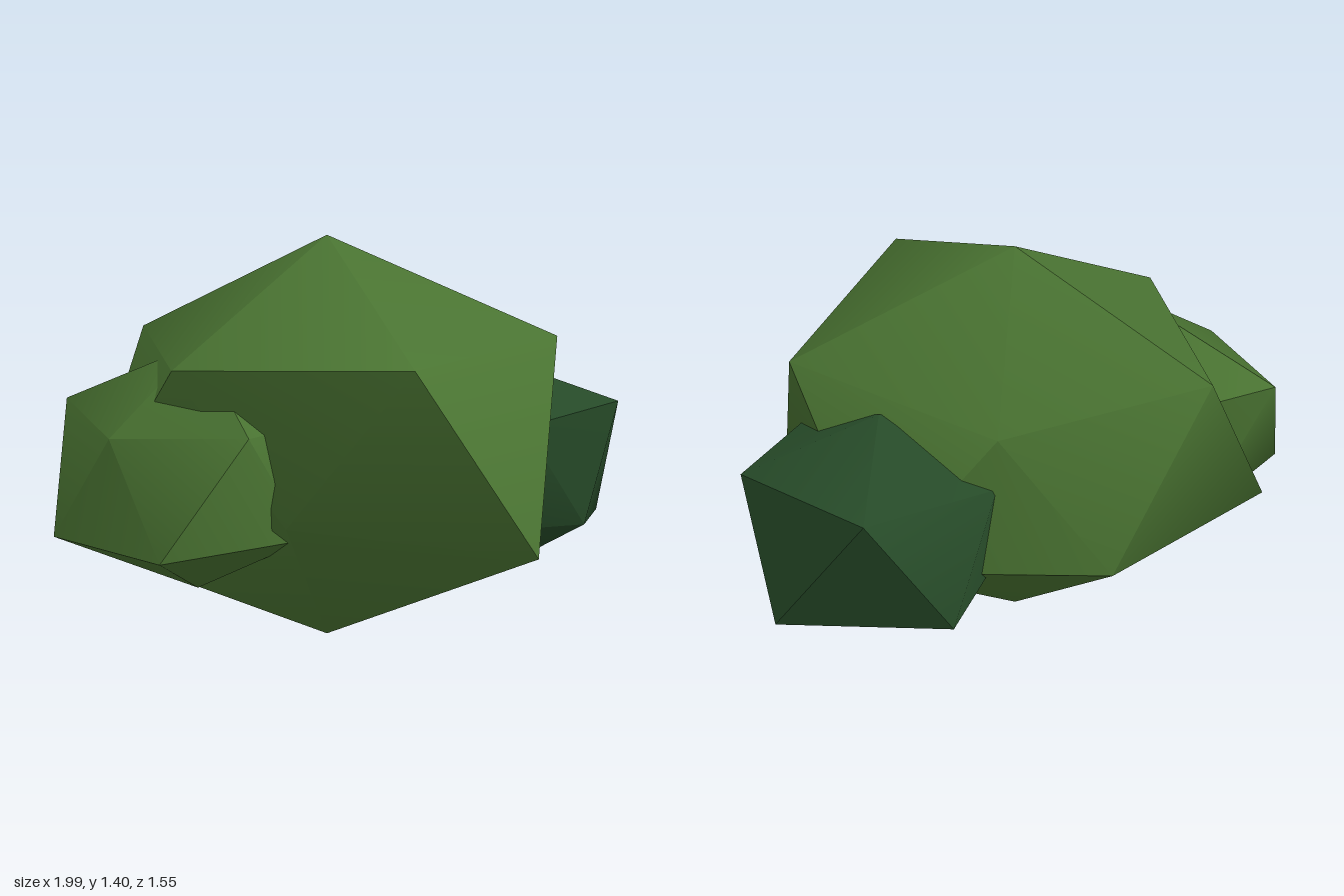
import * as THREE from 'three';
import { toCreasedNormals } from 'three/addons/utils/BufferGeometryUtils.js';

// Unit icosahedron directions: top, upper ring, lower ring, bottom
const DIRS = [[0, 1, 0]];
for (const [y, offset] of [[0.447, 0], [-0.447, 36]]) {
  for (let i = 0; i < 5; i++) {
    const a = THREE.MathUtils.degToRad(offset + i * 72);
    DIRS.push([0.894 * Math.cos(a), y, 0.894 * Math.sin(a)]);
  }
}
DIRS.push([0, -1, 0]);

// Triangles between the poles and the two rings
const FACES = [];
for (let i = 0; i < 5; i++) {
  const j = (i + 1) % 5;
  FACES.push(0, 1 + j, 1 + i, 1 + i, 1 + j, 6 + i, 1 + j, 6 + j, 6 + i, 11, 6 + i, 6 + j);
}

// A lumpy, slightly flattened leaf clump: one radius for each corner
function clump(name, center, radii, material) {
  const squash = 0.84;
  const points = DIRS.flatMap(([x, y, z], i) => [x * radii[i], y * radii[i] * squash, z * radii[i]]);
  const geometry = new THREE.BufferGeometry();
  geometry.setAttribute('position', new THREE.Float32BufferAttribute(points, 3));
  geometry.setIndex(FACES);
  const mesh = new THREE.Mesh(toCreasedNormals(geometry, 0.85), material);
  mesh.name = name;
  mesh.position.set(...center);
  return mesh;
}

export function createModel() {
  const leafGreen = new THREE.MeshStandardMaterial({ name: 'leaf green', color: 0x4a7432 });
  const deepGreen = new THREE.MeshStandardMaterial({ name: 'deep green', color: 0x264a28 });

  const bush = new THREE.Group();
  bush.name = 'bush';
  // Radii run: top, upper ring, lower ring, bottom (rings go from +x towards +z)
  bush.add(
    clump('mainClump', [-0.04, 0.7, -0.01],
      [0.833, 0.895, 0.92, 0.785, 0.84, 0.65, 0.97, 0.65, 0.98, 0.755, 0.8, 0.833], leafGreen),
    clump('frontRightClump', [-0.5, 0.59, 0.17],
      [0.55, 0.5, 0.53, 0.45, 0.6, 0.5, 0.5, 0.61, 0.56, 0.5, 0.5, 0.47], leafGreen),
    clump('backLeftClump', [0.5, 0.555, -0.28],
      [0.46, 0.548, 0.5, 0.5, 0.5, 0.587, 0.49, 0.5, 0.5, 0.58, 0.6, 0.494], deepGreen),
  );
  return bush;
}
